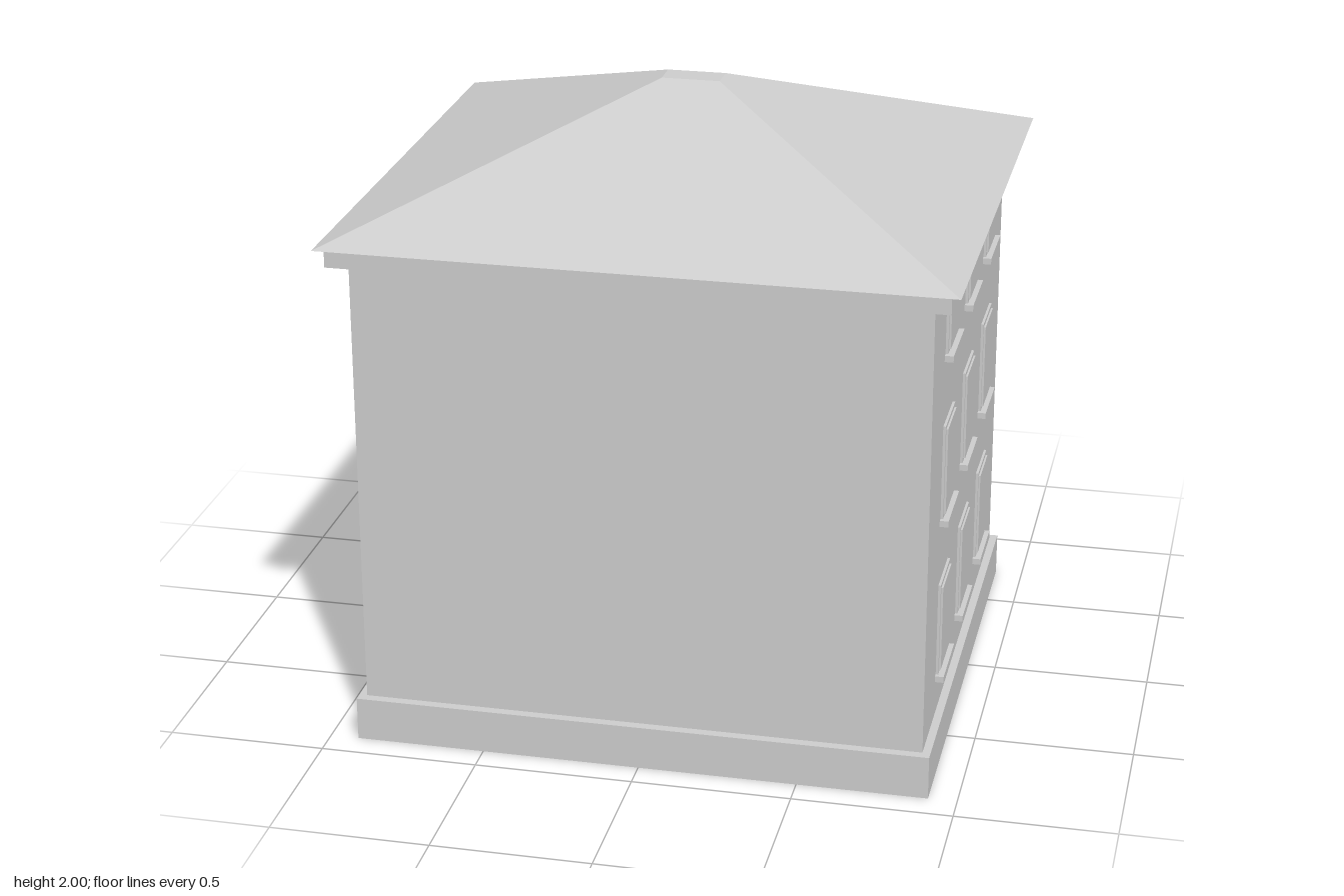
import * as THREE from 'three';

export function createModel() {
  const model = new THREE.Group();
  model.name = 'building';
  const stone = new THREE.MeshStandardMaterial({ color: 0xcccccc });
  stone.name = 'light grey plaster';

  const add = (parent, name, geometry) => {
    const mesh = new THREE.Mesh(geometry, stone);
    mesh.name = name;
    parent.add(mesh);
    return mesh;
  };
  // Box given by its limits on each axis
  const block = (parent, name, [x0, x1], [y0, y1], [z0, z1]) => {
    const mesh = add(parent, name, new THREE.BoxGeometry(x1 - x0, y1 - y0, z1 - z0));
    mesh.position.set((x0 + x1) / 2, (y0 + y1) / 2, (z0 + z1) / 2);
    return mesh;
  };

  // Main masses
  block(model, 'plinth', [-0.91, 0.91], [0, 0.14], [-0.73, 0.91]);
  block(model, 'walls', [-0.885, 0.885], [0.14, 1.6], [-0.703, 0.88]);
  block(model, 'cornice', [-0.94, 0.94], [1.595, 1.655], [-0.76, 0.94]);

  // Hipped roof: a box whose upper corners are drawn in to a small flat top
  const roof = new THREE.BoxGeometry(1.94, 0.345, 1.76).toNonIndexed();
  const p = roof.attributes.position;
  for (let i = 0; i < p.count; i++) {
    const top = p.getY(i) > 0;
    p.setX(i, Math.sign(p.getX(i)) * (top ? 0.092 : 0.97));
    p.setZ(i, Math.sign(p.getZ(i)) * (top ? 0.045 : 0.88));
  }
  roof.computeVertexNormals();
  add(model, 'roof', roof).position.set(0, 1.8275, 0.088);

  // Window facing local +z, its origin on the wall at sill level
  function makeWindow(name, leaves) {
    const win = new THREE.Group();
    win.name = name;
    block(win, 'windowFrame', [-0.102, 0.102], [0, 0.305], [-0.01, 0.008]);
    const w = 0.18 / leaves;
    for (let i = 0; i < leaves; i++) {
      const x = -0.09 + i * w;
      const gap = leaves > 1 ? 0.008 : 0;
      block(win, 'windowPane', [x + gap, x + w - gap], [0.012, 0.292], [0, 0.014]);
    }
    block(win, 'windowSill', [-0.117, 0.117], [-0.02, 0], [-0.01, 0.027]);
    model.add(win);
    return win;
  }

  [0.28, 0.81, 1.35].forEach((y, floor) => {
    // Three windows on each side wall
    for (const side of [1, -1]) {
      for (const z of [0.525, 0.09, -0.345]) {
        const win = makeWindow('sideWindow', 1);
        win.position.set(side * 0.885, y, z);
        win.rotation.y = side * Math.PI / 2;
      }
    }
    // Four on the back wall, the entrance replacing the middle pair below
    for (const x of [-0.58, -0.195, 0.195, 0.58]) {
      if (floor === 0 && Math.abs(x) < 0.3) continue;
      const win = makeWindow('backWindow', 2);
      win.position.set(x, y, -0.703);
      win.rotation.y = Math.PI;
    }
  });

  // Entrance porch with double door
  const porch = new THREE.Group();
  porch.name = 'porch';
  model.add(porch);
  block(porch, 'doorFrame', [-0.16, 0.16], [0.14, 0.59], [-0.712, -0.69]);
  block(porch, 'doorStep', [-0.28, 0.28], [0.12, 0.145], [-0.935, -0.7]);
  block(porch, 'canopy', [-0.235, 0.235], [0.65, 0.702], [-0.96, -0.7]);
  for (const side of [1, -1]) {
    block(porch, 'doorLeaf', [side * 0.075 - 0.067, side * 0.075 + 0.067], [0.145, 0.575], [-0.718, -0.7]);
    const column = add(porch, 'column', new THREE.CylinderGeometry(0.036, 0.036, 0.555, 24));
    column.position.set(side * 0.197, 0.4225, -0.931);
  }
  return model;
}
